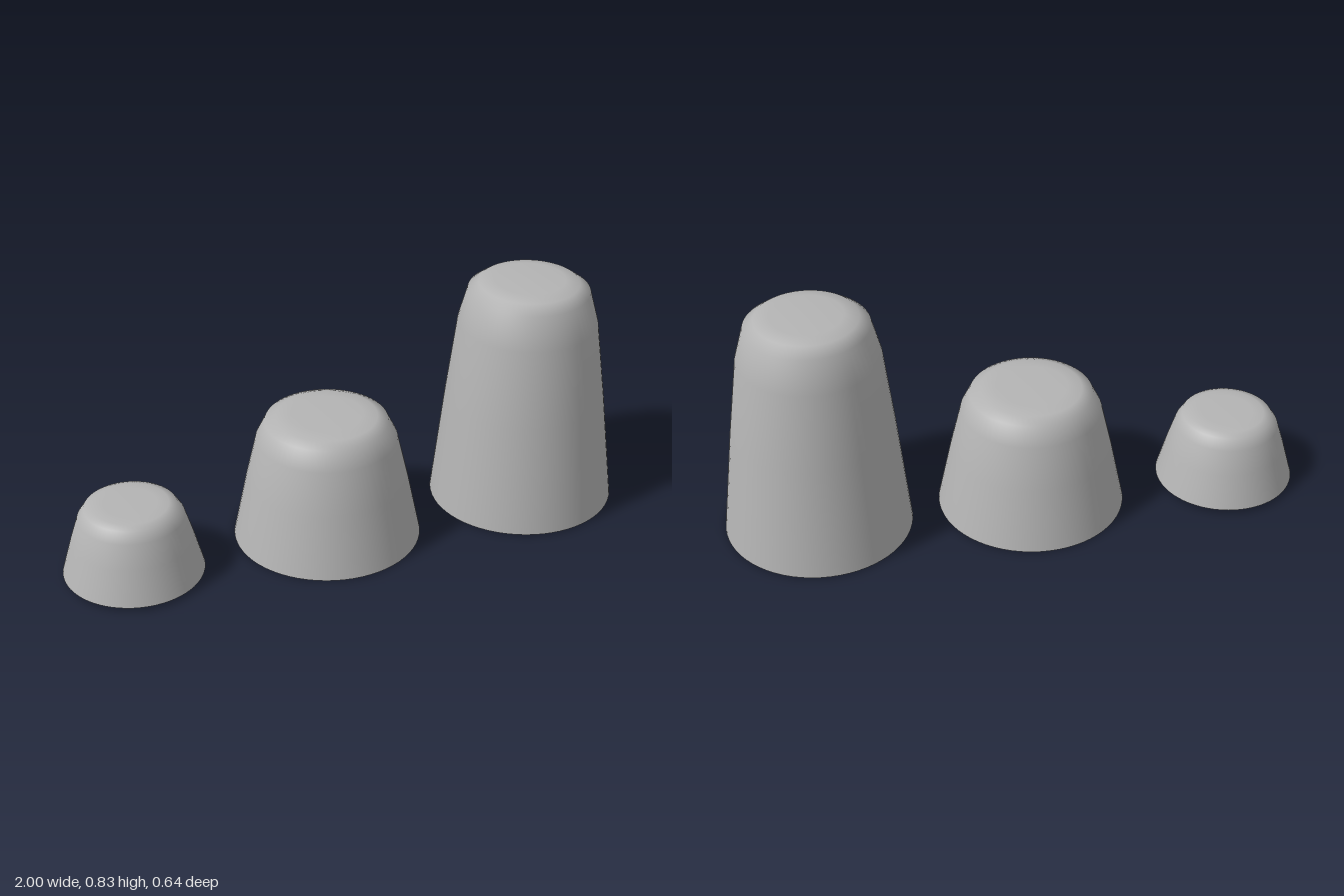
import * as THREE from 'three';

// Shared wall profile: [radius, height fraction], rim to crown
const PROFILE = [
  [1, 0], [0.86, 0.478], [0.75, 0.811], [0.652, 0.953],
  [0.534, 0.987], [0.38, 1], [0, 1],
];

export function createModel() {
  const group = new THREE.Group();
  const grey = new THREE.MeshStandardMaterial({ color: 0xb4b4b4, side: THREE.DoubleSide });
  grey.name = 'grey';

  // Upturned cup, open underneath
  function addCup(name, x, bottom, radius, height) {
    const points = PROFILE.map(([r, h]) => new THREE.Vector2(r * radius, h * height));
    const cup = new THREE.Mesh(new THREE.LatheGeometry(points, 64), grey);
    cup.name = name;
    cup.position.set(x, bottom, 0);
    group.add(cup);
  }

  addCup('smallCup', -0.761, 0.015, 0.239, 0.256);
  addCup('mediumCup', -0.064, 0.002, 0.322, 0.459);
  addCup('tallCup', 0.678, 0.004, 0.322, 0.827);

  return group;
}
